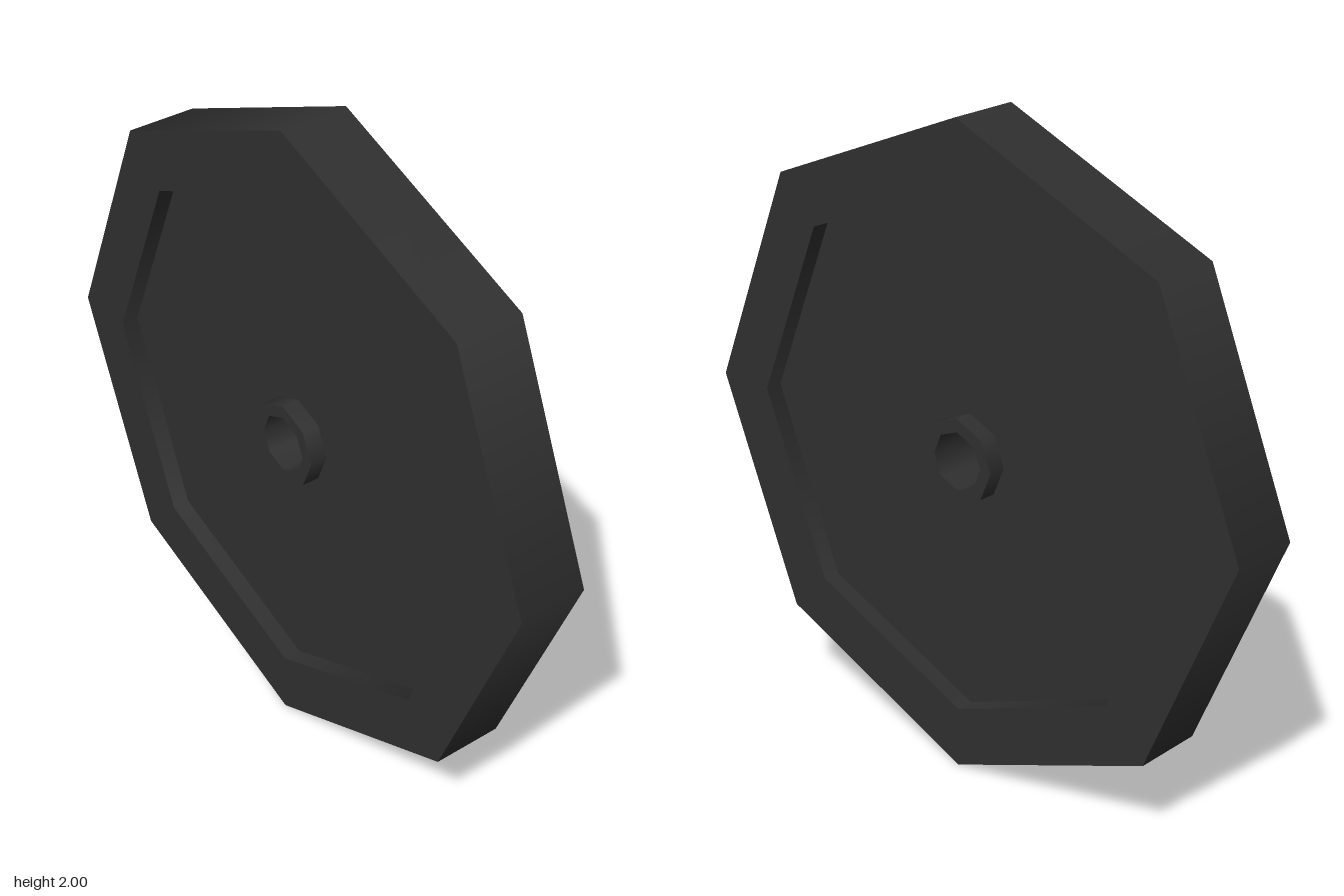
import * as THREE from 'three';
import { mergeGeometries } from 'three/addons/utils/BufferGeometryUtils.js';

const SIDES = 8;
const HALF = 0.11;    // half thickness of rim and hub
const WEB = 0.055;    // half thickness of the recessed disc
const R_OUT = 1, R_RIM = 0.807, R_HUB = 0.13, R_BORE = 0.09;

// One lathe per profile edge: sharp between edges, smooth around the axle.
function ring(edges) {
  return mergeGeometries(edges.map(([r0, y0, r1, y1]) =>
    new THREE.LatheGeometry([new THREE.Vector2(r0, y0), new THREE.Vector2(r1, y1)], SIDES)));
}

export function createModel() {
  const model = new THREE.Group();
  model.name = 'wheel';
  const rubber = new THREE.MeshStandardMaterial({ color: 0x303030 });
  rubber.name = 'charcoal';

  const add = (name, edges) => {
    const mesh = new THREE.Mesh(ring(edges), rubber);
    mesh.name = name;
    mesh.rotation.z = -Math.PI / 2; // axle along x
    mesh.position.y = R_OUT;
    model.add(mesh);
  };

  // Outer rim: tread, two side faces and the lips of the recesses
  add('rim', [
    [R_OUT, -HALF, R_OUT, HALF],
    [R_OUT, HALF, R_RIM, HALF],
    [R_RIM, HALF, R_RIM, WEB],
    [R_RIM, -WEB, R_RIM, -HALF],
    [R_RIM, -HALF, R_OUT, -HALF],
  ]);

  // Recessed disc on both sides
  add('disc', [
    [R_RIM, WEB, R_HUB, WEB],
    [R_HUB, -WEB, R_RIM, -WEB],
  ]);

  // Hub collars and the bore through the middle
  add('hub', [
    [R_HUB, WEB, R_HUB, HALF],
    [R_HUB, HALF, R_BORE, HALF],
    [R_BORE, HALF, R_BORE, -HALF],
    [R_BORE, -HALF, R_HUB, -HALF],
    [R_HUB, -HALF, R_HUB, -WEB],
  ]);

  return model;
}
